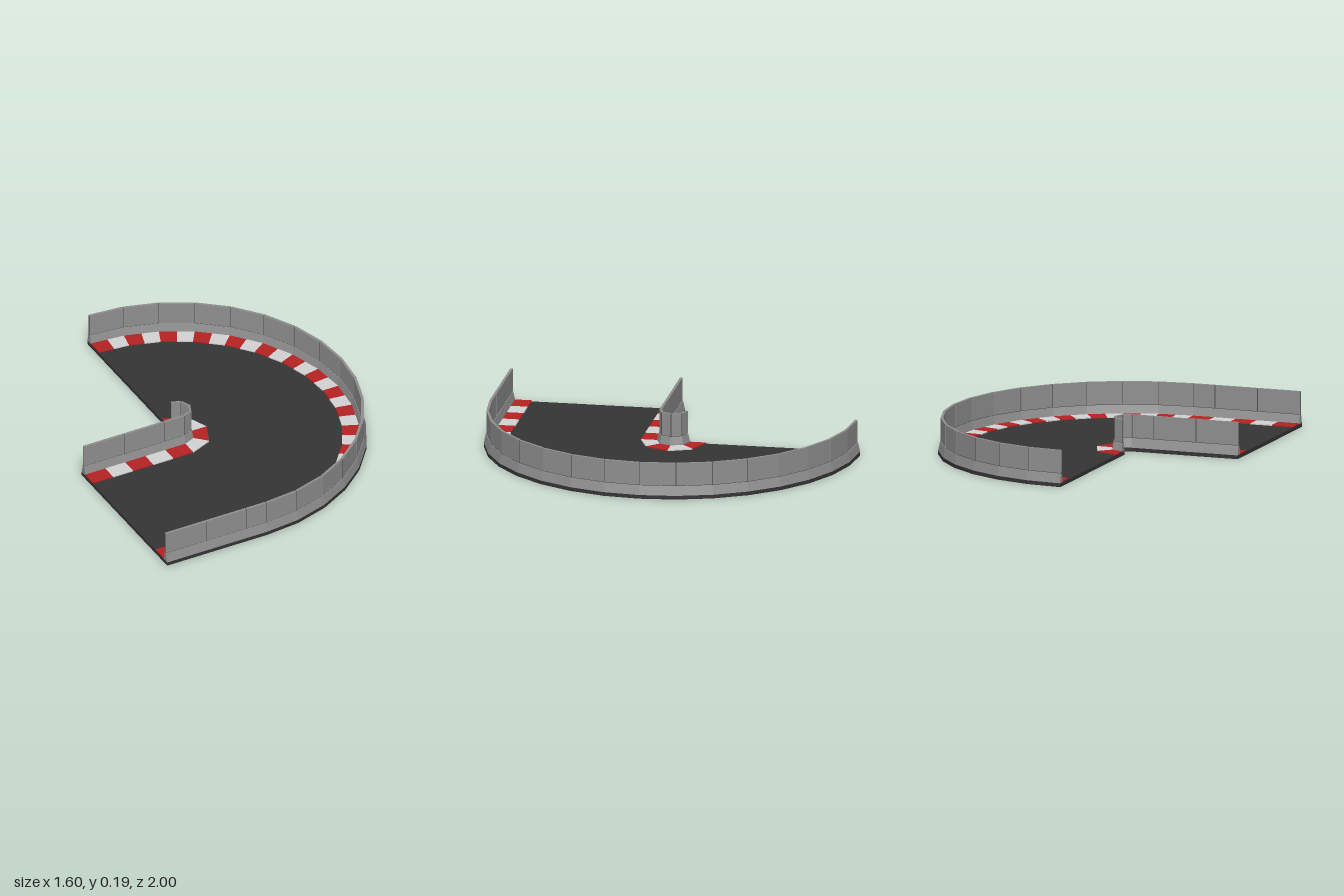
import * as THREE from 'three';

const CENTRE_X = -0.2, STRAIGHT = 0.6;

const mat = (name, color) => {
  const m = new THREE.MeshStandardMaterial({ color });
  m.name = name;
  return m;
};

// Point on the track at radius r. t < 0 runs along the straight, t = 0..n steps round the bend.
function trackPoint(t, r, n) {
  if (t <= 0) return [CENTRE_X + t, r];
  const i = Math.min(Math.floor(t), n - 1), f = t - i;
  const a = (i * Math.PI) / n, b = ((i + 1) * Math.PI) / n;
  return [
    CENTRE_X + r * (Math.sin(a) * (1 - f) + Math.sin(b) * f),
    r * (Math.cos(a) * (1 - f) + Math.cos(b) * f),
  ];
}

// Sweeps a closed convex [radius, height] profile along the given track stations.
function sweep(profile, stations, n) {
  const pos = [];
  const rings = stations.map((t) => profile.map(([r, y]) => {
    const [x, z] = trackPoint(t, r, n);
    return [x, y, z];
  }));
  const tri = (a, b, c) => pos.push(...a, ...b, ...c);
  const count = profile.length;
  for (let s = 0; s < rings.length - 1; s++) {
    const A = rings[s], B = rings[s + 1];
    for (let i = 0; i < count; i++) {
      const j = (i + 1) % count;
      tri(A[j], A[i], B[i]);
      tri(A[j], B[i], B[j]);
    }
  }
  const first = rings[0], last = rings[rings.length - 1];
  for (let i = 1; i < count - 1; i++) {
    tri(first[0], first[i], first[i + 1]);
    tri(last[0], last[i + 1], last[i]);
  }
  const g = new THREE.BufferGeometry();
  g.setAttribute('position', new THREE.Float32BufferAttribute(pos, 3));
  g.computeVertexNormals();
  return g;
}

const box = (r0, r1, y0, y1) => [[r0, y0], [r1, y0], [r1, y1], [r0, y1]];
const bendStations = (n) => Array.from({ length: n }, (_, i) => i + 1);

export function createModel() {
  const asphalt = mat('asphalt', 0x343434);
  const concrete = mat('concrete', 0x8f8f8f);
  const joint = mat('joint', 0x4c4c4c);
  const red = mat('kerbRed', 0xb52222);
  const white = mat('kerbWhite', 0xd2d2d2);

  const model = new THREE.Group();
  model.name = 'hairpinTrack';
  const add = (parent, name, geometry, material) => {
    const mesh = new THREE.Mesh(geometry, material);
    mesh.name = name;
    parent.add(mesh);
  };

  // Road slab with the hairpin notch
  const edge = (r, n) => [-STRAIGHT, 0, ...bendStations(n)].map((t) => {
    const [x, z] = trackPoint(t, r, n);
    return new THREE.Vector2(x, -z);
  });
  const outline = new THREE.Shape([...edge(1, 16), ...edge(0.05, 4).reverse()]);
  const slab = new THREE.ExtrudeGeometry(outline, { depth: 0.02, bevelEnabled: false });
  slab.rotateX(-Math.PI / 2);
  add(model, 'roadSlab', slab, asphalt);

  const sides = [
    { name: 'outer', n: 16, mid: 0.98, kerb: [0.872, 0.962], perSegment: 2 },
    { name: 'inner', n: 4, mid: 0.07, kerb: [0.088, 0.175], perSegment: 1 },
  ];
  for (const { name, n, mid, kerb, perSegment } of sides) {
    // Barrier: flared footing, recessed dark core and separate wall panels
    const barrier = new THREE.Group();
    barrier.name = name + 'Barrier';
    model.add(barrier);
    const path = [-STRAIGHT, 0, ...bendStations(n)];
    const footing = [[mid - 0.02, 0.02], [mid + 0.02, 0.02], [mid + 0.009, 0.07], [mid - 0.009, 0.07]];
    add(barrier, 'footing', sweep(footing, path, n), concrete);
    add(barrier, 'jointCore', sweep(box(mid - 0.0055, mid + 0.0055, 0.07, 0.192), path, n), joint);

    const seams = [-STRAIGHT, -0.36, -0.12, 0, ...bendStations(n)];
    const segmentLength = 2 * mid * Math.sin(Math.PI / n / 2);
    for (let i = 0; i < seams.length - 1; i++) {
      const gap = seams[i] < 0 ? 0.002 : 0.002 / segmentLength;
      const from = i === 0 ? seams[i] : seams[i] + gap;
      const to = i === seams.length - 2 ? seams[i + 1] : seams[i + 1] - gap;
      add(barrier, 'wallPanel', sweep(box(mid - 0.007, mid + 0.007, 0.073, 0.195), [from, to], n), concrete);
    }

    // Kerb of alternating red and white blocks
    const kerbGroup = new THREE.Group();
    kerbGroup.name = name + 'Kerb';
    model.add(kerbGroup);
    const marks = Array.from({ length: 6 }, (_, i) => -STRAIGHT + i * 0.12);
    marks[5] = 0;
    for (let i = 1; i <= n * perSegment; i++) marks.push(i / perSegment);
    for (let i = 0; i < marks.length - 1; i++) {
      const block = sweep(box(kerb[0], kerb[1], 0.02, 0.026), [marks[i], marks[i + 1]], n);
      add(kerbGroup, 'kerbBlock', block, i % 2 ? white : red);
    }
  }
  return model;
}
